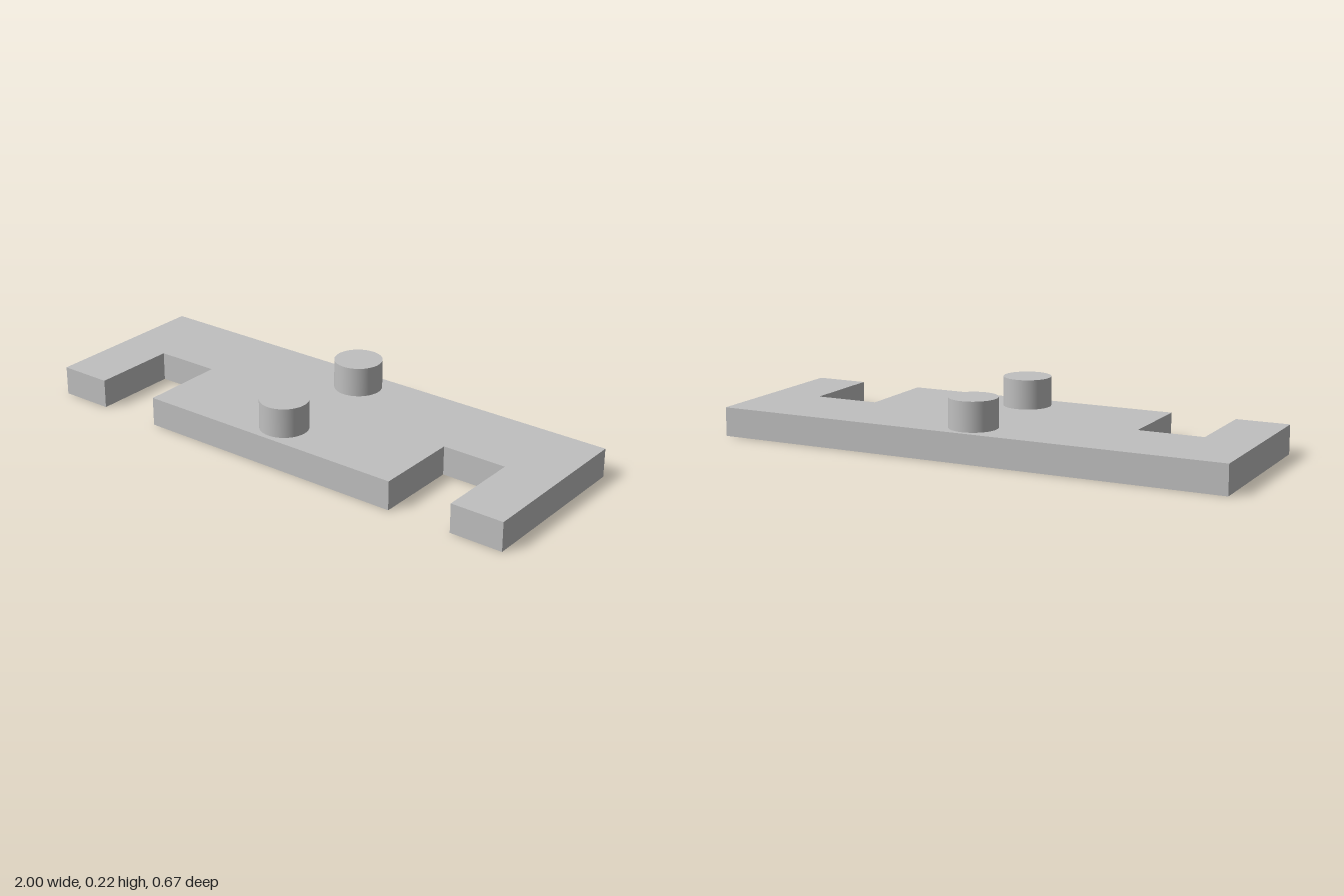
import * as THREE from 'three';

const HALF_WIDTH = 1, HALF_DEPTH = 0.333, THICKNESS = 0.111;
const NOTCH_INNER = 0.543, NOTCH_OUTER = 0.795;
const PEG_RADIUS = 0.091, PEG_HEIGHT = 0.112, PEG_Z = 0.222;

export function createModel() {
  const model = new THREE.Group();
  model.name = 'notchedPlate';

  const grey = new THREE.MeshStandardMaterial({ color: 0xc0c0c0 });
  grey.name = 'light grey';

  // Plate with two rectangular notches cut in from the front edge to z = 0
  const rightHalf = [
    [NOTCH_INNER, -HALF_DEPTH], [NOTCH_INNER, 0],
    [NOTCH_OUTER, 0], [NOTCH_OUTER, -HALF_DEPTH],
    [HALF_WIDTH, -HALF_DEPTH], [HALF_WIDTH, HALF_DEPTH],
  ];
  const leftHalf = rightHalf.map(([x, y]) => [-x, y]).reverse();
  const outline = [...rightHalf, ...leftHalf].map(([x, y]) => new THREE.Vector2(x, y));
  const plateGeometry = new THREE.ExtrudeGeometry(new THREE.Shape(outline), {
    depth: THICKNESS,
    bevelEnabled: false,
  });
  plateGeometry.rotateX(-Math.PI / 2);
  const plate = new THREE.Mesh(plateGeometry, grey);
  plate.name = 'plate';
  model.add(plate);

  // Two round pegs on the centre line
  const pegGeometry = new THREE.CylinderGeometry(PEG_RADIUS, PEG_RADIUS, PEG_HEIGHT, 64);
  for (const [name, side] of [['frontPeg', 1], ['backPeg', -1]]) {
    const peg = new THREE.Mesh(pegGeometry, grey);
    peg.name = name;
    peg.position.set(0, THICKNESS + PEG_HEIGHT / 2, side * PEG_Z);
    model.add(peg);
  }

  return model;
}
